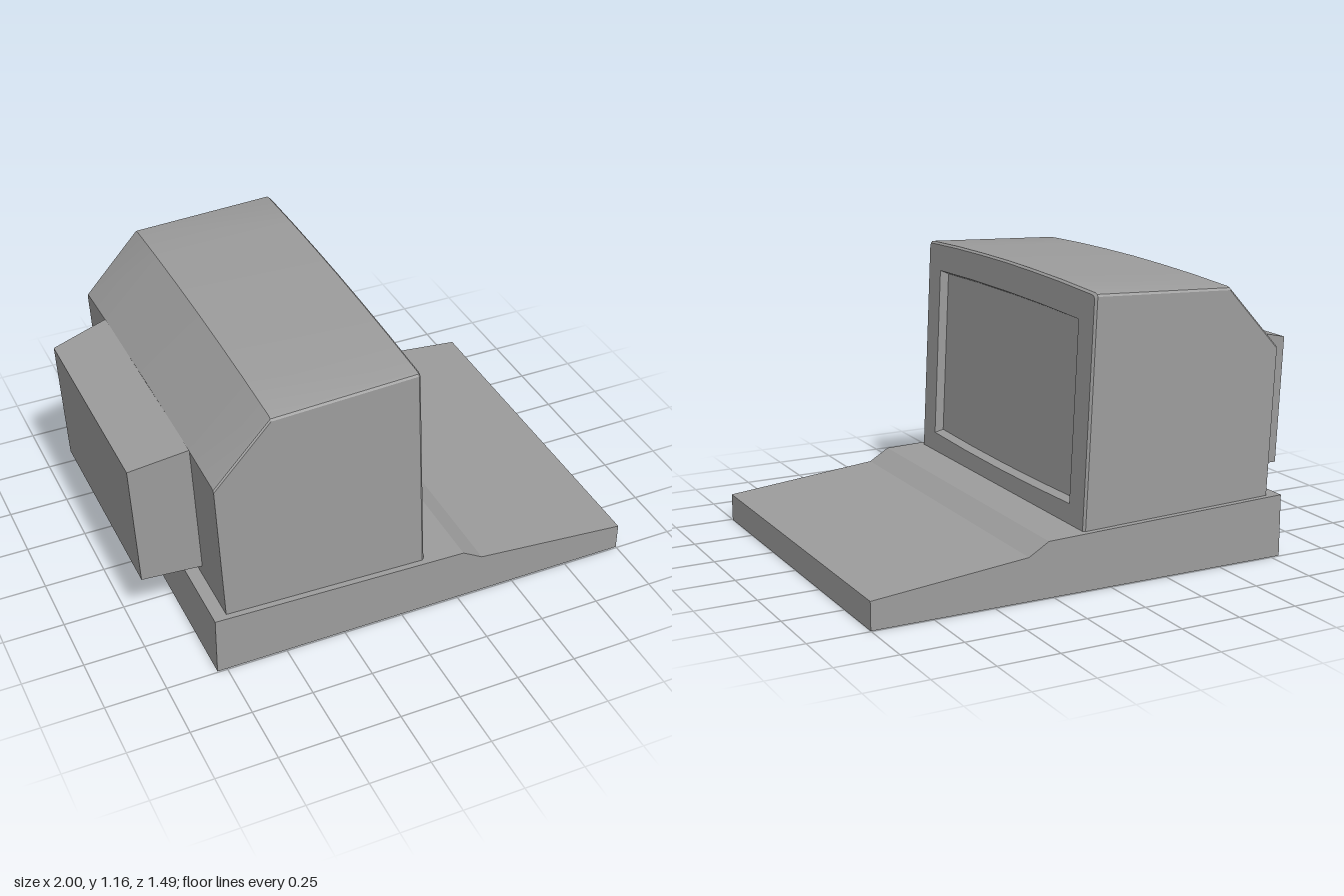
import * as THREE from 'three';
import { toCreasedNormals } from 'three/addons/utils/BufferGeometryUtils.js';

// Loops run counter-clockwise in (u, y) seen from +x, where u = -z.
// Each is placed on a leaning plane x = planeX(y).
const place = (loop, planeX) => loop.map(([u, y]) => new THREE.Vector3(planeX(y), y, -u));
const lean = (x0, y0, x1, y1) => (y) => x0 + ((y - y0) * (x1 - x0)) / (y1 - y0);

// Band of quads between two matching loops
function strip(a, b) {
  const out = [];
  a.forEach((p, i) => {
    const j = (i + 1) % a.length;
    out.push(p, a[j], b[j], p, b[j], b[i]);
  });
  return out;
}

// Flat face filling a loop, optionally with a hole
function fill(loop, planeX, hole = [], flip = false) {
  const v = (l) => l.map(([u, y]) => new THREE.Vector2(u, y));
  const tris = THREE.ShapeUtils.triangulateShape(v(loop), hole.length ? [v(hole)] : []);
  const pts = place([...loop, ...hole], planeX);
  const out = [];
  for (const [a, b, c] of tris) {
    const [p, q, r] = [loop, hole].flat().length ? [a, b, c].map((i) => pts[i]) : [];
    const area = (q.z - p.z) * (r.y - p.y) - (q.y - p.y) * (r.z - p.z);
    // negative area in (z, y) means the triangle faces +x
    if (area < 0 !== flip) out.push(p, q, r);
    else out.push(p, r, q);
  }
  return out;
}

export function createModel() {
  const model = new THREE.Group();
  const grey = new THREE.MeshStandardMaterial({ color: 0x9c9c9c });
  grey.name = 'casing grey';

  const add = (name, geometry) => {
    const mesh = new THREE.Mesh(toCreasedNormals(geometry, 0.3), grey);
    mesh.name = name;
    model.add(mesh);
  };
  const addFaces = (name, points) => add(name, new THREE.BufferGeometry().setFromPoints(points));

  // Base with sloping keyboard deck
  const deck = new THREE.Shape([
    [-0.79, 0], [1, 0], [1, 0.113], [0.355, 0.175], [0.27, 0.225], [0.1, 0.23], [-0.79, 0.257],
  ].map(([x, y]) => new THREE.Vector2(x, y)));
  const deckGeometry = new THREE.ExtrudeGeometry(deck, { depth: 1.49, bevelEnabled: false });
  add('base', deckGeometry.translate(0, 0, -0.745));

  // Monitor outline: straight sides, gently crowned top with softened corners
  const crown = [[0.72, 0.03], [0.715, 0.021], [0.7, 0.017], [0.45, 0.007], [0.22, 0.002]];
  const top = [...crown, [0, 0], ...crown.map(([u, d]) => [-u, d]).reverse()];
  const outline = (topY, bottomY = 0.2, inset = 0) => {
    const s = 1 - inset / 0.72;
    return [[-0.72 * s, bottomY], [0.72 * s, bottomY], ...top.map(([u, d]) => [u * s, topY - d - inset])];
  };
  // Screen opening with bowed upper and lower edges
  const opening = (w, low, high, bow) => {
    const us = [-1, -0.5, 0, 0.5, 1];
    const arc = (u) => bow * (1 - u * u);
    return [...us.map((u) => [u * w, low - arc(u)]), ...us.reverse().map((u) => [u * w, high + arc(u)])];
  };

  const front = lean(0.107, 0.23, 0.062, 1.163);
  const rim = (y) => front(y) - 0.009;
  const glass = (y) => front(y) - 0.032;
  const back = lean(-0.735, 0.25, -0.765, 0.885);

  // Monitor shell from rear to front
  const rear = outline(0.885);
  const rearLoop = place(rear, back);
  const kinkLoop = place(outline(1.137), () => -0.535);
  const rimLoop = place(outline(1.162), rim);
  addFaces('monitorShell', [
    ...fill(rear, back, [], true),
    ...strip(rearLoop, kinkLoop),
    ...strip(kinkLoop, rimLoop),
  ]);

  // Bezel with its bevelled rim, the recess and the screen
  const face = outline(1.162, 0.2, 0.008);
  const hole = opening(0.602, 0.31, 1.03, 0.01);
  const pane = opening(0.587, 0.323, 1.016, 0.009);
  addFaces('bezel', [...strip(rimLoop, place(face, front)), ...fill(face, front, hole)]);
  addFaces('screenRecess', strip(place(hole, front), place(pane, glass)));
  addFaces('screen', fill(pane, glass));

  // Tapered housing on the back of the monitor
  const box = (w, low, high) => [[-w, low], [w, low], [w, high], [-w, high]];
  const tail = box(0.445, 0.295, 0.828);
  const tailPlane = lean(-0.975, 0.295, -1, 0.828);
  addFaces('rearHousing', [
    ...fill(tail, tailPlane, [], true),
    ...strip(place(tail, tailPlane), place(box(0.48, 0.308, 0.883), back)),
  ]);

  return model;
}
